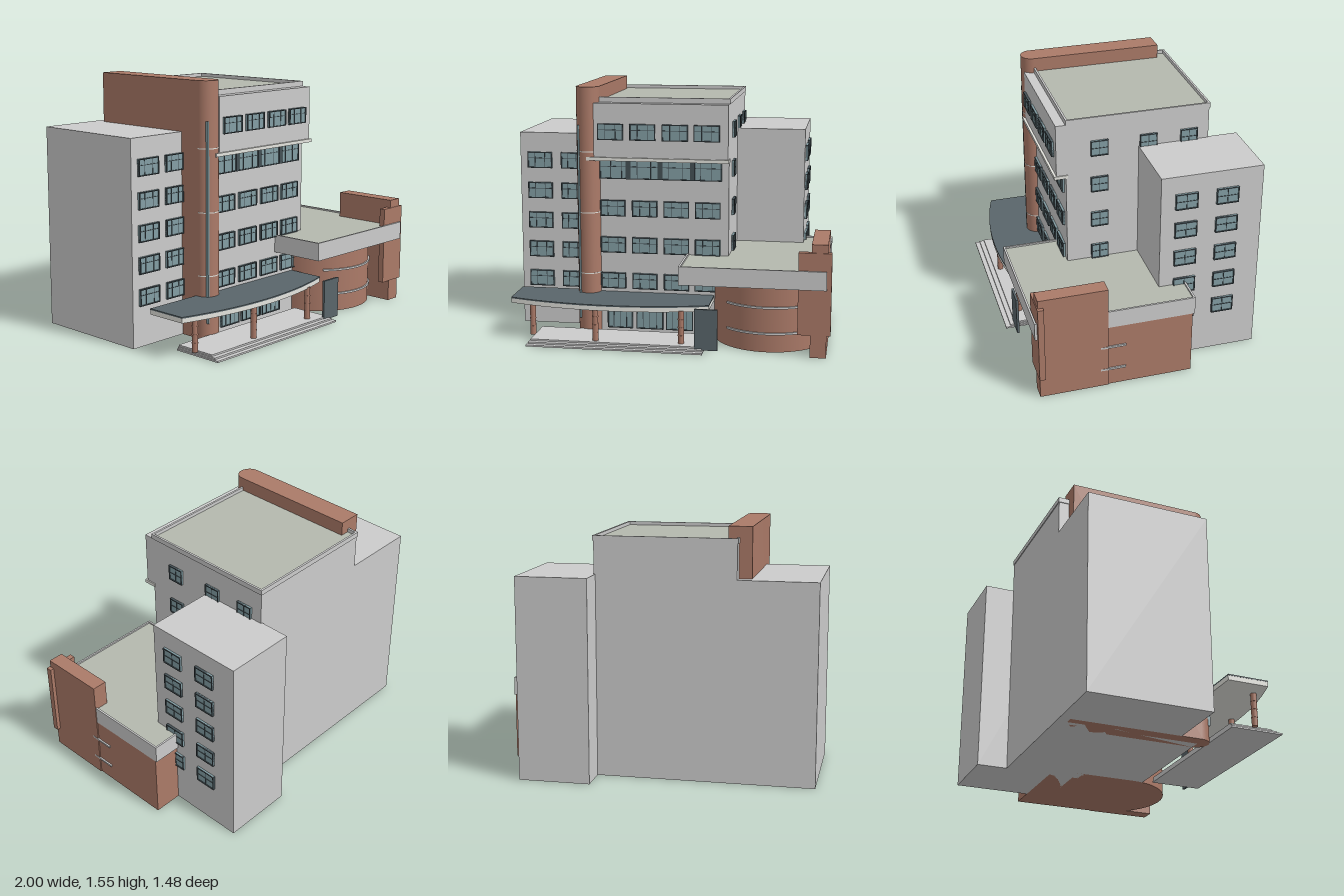
import * as THREE from 'three';
import { toCreasedNormals } from 'three/addons/utils/BufferGeometryUtils.js';

const mat = (color) => new THREE.MeshStandardMaterial({ color });
const GREY = mat(0xcccccc), BRICK = mat(0xab7a68), DARK = mat(0x59656a), GLASS = mat(0x839ea4);
const ROOF = mat(0xb4b8ae), PALE = mat(0xe4e4de), FRAME = mat(0x445055);

export function createModel() {
  const root = new THREE.Group();

  const add = (name, geometry, material, parent = root) => {
    const mesh = new THREE.Mesh(geometry, material);
    mesh.name = name;
    parent.add(mesh);
    return mesh;
  };

  // Box given by its limits on each axis
  const box = (name, material, x0, x1, y0, y1, z0, z1, parent = root) => {
    const mesh = add(name, new THREE.BoxGeometry(x1 - x0, y1 - y0, z1 - z0), material, parent);
    mesh.position.set((x0 + x1) / 2, (y0 + y1) / 2, (z0 + z1) / 2);
    return mesh;
  };

  // Floor plan of [x, z] points raised from y0 to y1
  const plan = (name, material, points, y0, y1) => {
    const shape = new THREE.Shape(points.map(([x, z]) => new THREE.Vector2(x, -z)));
    const geo = new THREE.ExtrudeGeometry(shape, { depth: y1 - y0, bevelEnabled: false });
    geo.rotateX(-Math.PI / 2);
    geo.translate(0, y0, 0);
    return add(name, toCreasedNormals(geo, 0.5), material);
  };

  // Points on an arc, with the angle measured from +x towards +z
  const arc = (cx, cz, r, a0, a1, n) => Array.from({ length: n + 1 }, (_, i) => {
    const a = a0 + (a1 - a0) * i / n;
    return [cx + r * Math.cos(a), cz + r * Math.sin(a)];
  });

  // Flat roof with a raised rim
  const rimmedRoof = (name, x0, x1, z0, z1, y0, y1, drop, t) => {
    const g = new THREE.Group();
    g.name = name;
    root.add(g);
    box('roofSurface', ROOF, x0 + t, x1 - t, y0, y1 - drop, z0 + t, z1 - t, g);
    box('rimLeft', GREY, x1 - t, x1, y0, y1, z0, z1, g);
    box('rimRight', GREY, x0, x0 + t, y0, y1, z0, z1, g);
    box('rimFront', GREY, x0 + t, x1 - t, y0, y1, z1 - t, z1, g);
    box('rimBack', GREY, x0 + t, x1 - t, y0, y1, z0, z0 + t, g);
  };

  // Window facing +z: glass, outer frame, inner bars at fractions of width and height
  const windowUnit = (w, h, cols, rows, name = 'window') => {
    const g = new THREE.Group();
    g.name = name;
    const b = 0.006, d = 0.016;
    box('glass', GLASS, -w / 2, w / 2, -h / 2, h / 2, -0.005, d - 0.006, g);
    for (const s of [-1, 1]) {
      box('frameSide', FRAME, s * (w - b) / 2 - b / 2, s * (w - b) / 2 + b / 2, -h / 2, h / 2, -0.005, d, g);
      box('frameRail', FRAME, -w / 2, w / 2, s * (h - b) / 2 - b / 2, s * (h - b) / 2 + b / 2, -0.005, d, g);
    }
    for (const c of cols) box('mullion', FRAME, (c - 0.5) * w - 0.002, (c - 0.5) * w + 0.002, -h / 2, h / 2, 0, d - 0.003, g);
    for (const r of rows) box('transom', FRAME, -w / 2, w / 2, (r - 0.5) * h - 0.002, (r - 0.5) * h + 0.002, 0, d - 0.003, g);
    root.add(g);
    return g;
  };
  const frontWindow = (x, y, z, w = 0.158, h = 0.1) =>
    windowUnit(w, h, [0.3, 0.7], [0.62]).position.set(x, y, z);
  const sideWindow = (x, y, z, w, h) => {
    const win = windowUnit(w, h, [0.5], [0.5]);
    win.rotation.y = Math.PI / 2;
    win.position.set(x, y, z);
  };

  // Main block with its projecting top floor, and the two wings
  box('mainBlock', GREY, -0.515, 0.355, 0, 1.46, -0.55, 0.35);
  box('topFloorOverhang', GREY, -0.475, 0.355, 1.12, 1.458, 0.34, 0.41);
  box('overhangLedge', PALE, -0.52, 0.362, 1.105, 1.126, 0.34, 0.425);
  rimmedRoof('mainRoof', -0.52, 0.36, -0.555, 0.35, 1.458, 1.49, 0.022, 0.013);
  box('rightSideWing', GREY, -1, -0.51, 0, 1.245, -0.55, 0.212);
  box('leftSideWing', GREY, 0.345, 0.79, 0, 1.257, -0.74, -0.105);

  // Tall brick fin with a rounded front
  plan('brickFin', BRICK, [[-0.45, -0.485], ...arc(-0.5225, 0.347, 0.0725, 0, Math.PI, 24), [-0.595, -0.485]], 0, 1.555);
  for (const y of [0.39, 0.775, 1.157]) {
    plan('finBand', PALE, arc(-0.5225, 0.347, 0.0735, 0, Math.PI, 24), y - 0.003, y + 0.003);
  }
  box('finLightStrip', GLASS, -0.577, -0.566, 0.1, 1.32, 0.37, 0.412);

  // Windows of the main front
  const bays = [-0.37, -0.17, 0.03, 0.225];
  for (const x of bays) {
    frontWindow(x, 1.284, 0.41);
    for (const y of [0.8, 0.567, 0.337]) frontWindow(x, y, 0.35);
  }
  windowUnit(0.76, 0.118, [0.09, 0.18, 0.31, 0.42, 0.57, 0.68, 0.83, 0.92], [0.65], 'ribbonWindow')
    .position.set(-0.07, 1.044, 0.35);
  for (const x of [-0.27, -0.07, 0.13]) box('ribbonPanel', FRAME, x - 0.015, x + 0.015, 0.988, 1.1, 0.35, 0.368);

  // Entrance doors
  for (const [x, w] of [[-0.33, 0.16], [-0.14, 0.17], [0.05, 0.17]]) {
    windowUnit(w, 0.18, [0.25, 0.5, 0.75], [0.72], 'entranceDoor').position.set(x, 0.12, 0.35);
  }

  // Windows of the wings and the side wall
  for (const y of [1.07, 0.875, 0.682, 0.492, 0.3]) {
    frontWindow(-0.872, y, 0.212, 0.158, 0.102);
    frontWindow(-0.663, y, 0.212, 0.142, 0.102);
  }
  for (const y of [1.092, 0.9, 0.707, 0.512, 0.322]) {
    for (const z of [-0.262, -0.517]) sideWindow(0.79, y, z, 0.138, 0.102);
  }
  for (const y of [1.285, 1.041, 0.797, 0.565]) sideWindow(0.355, y, 0.143, 0.108, 0.1);
  for (const z of [-0.165, -0.423]) sideWindow(0.355, 1.285, z, 0.108, 0.1);

  // Round-fronted brick annex with rails and a deep flat roof
  const cx = 0.615, cz = 0.268, r = 0.354;
  plan('annexBody', BRICK, [[0.969, -0.262], ...arc(cx, cz, r, 0, Math.PI, 40), [0.261, -0.262]], 0, 0.43);
  for (const y of [0.115, 0.275]) {
    plan('annexRail', GREY, [
      [0.979, 0.155], ...arc(cx, cz, r + 0.01, 0, 2.32, 30), ...arc(cx, cz, r - 0.01, 2.32, 0, 30), [0.959, 0.155],
    ], y - 0.006, y + 0.006);
  }
  rimmedRoof('annexRoof', 0.097, 0.972, -0.275, 0.707, 0.415, 0.528, 0.01, 0.012);
  box('annexFin', BRICK, 0.88, 0.976, 0, 0.685, 0.265, 0.686);
  box('annexFinPanel', BRICK, 0.805, 1, 0.138, 0.635, 0.655, 0.692);

  // Bowed entrance canopy on columns
  const bow = (grow) => [
    [0.265 + grow, 0.327], ...arc(-0.352, -1.37, 2.05 + grow, Math.PI / 2 - 0.3057, Math.PI / 2 + 0.3057, 24), [-0.969 - grow, 0.327],
  ];
  plan('canopyFascia', PALE, bow(0), 0.228, 0.256);
  plan('canopyTop', DARK, bow(0.002), 0.256, 0.264);
  for (const [x, z] of [[-0.84, 0.56], [-0.425, 0.64], [0.1, 0.62]]) {
    add('canopyColumn', new THREE.CylinderGeometry(0.018, 0.018, 0.21, 16), BRICK).position.set(x, 0.13, z);
    for (const y of [0.08, 0.13, 0.18]) {
      add('columnRing', new THREE.CylinderGeometry(0.0195, 0.0195, 0.005, 16), BRICK).position.set(x, y, z);
    }
  }
  box('entranceScreen', DARK, 0.19, 0.33, 0.012, 0.265, 0.67, 0.685);

  // Entrance steps
  for (let i = 0; i < 3; i++) {
    box('entranceStep', GREY, -0.84 + i * 0.008, 0.245 - i * 0.008, i * 0.01, (i + 1) * 0.01, 0.41, 0.74 - i * 0.03);
  }

  return root;
}
